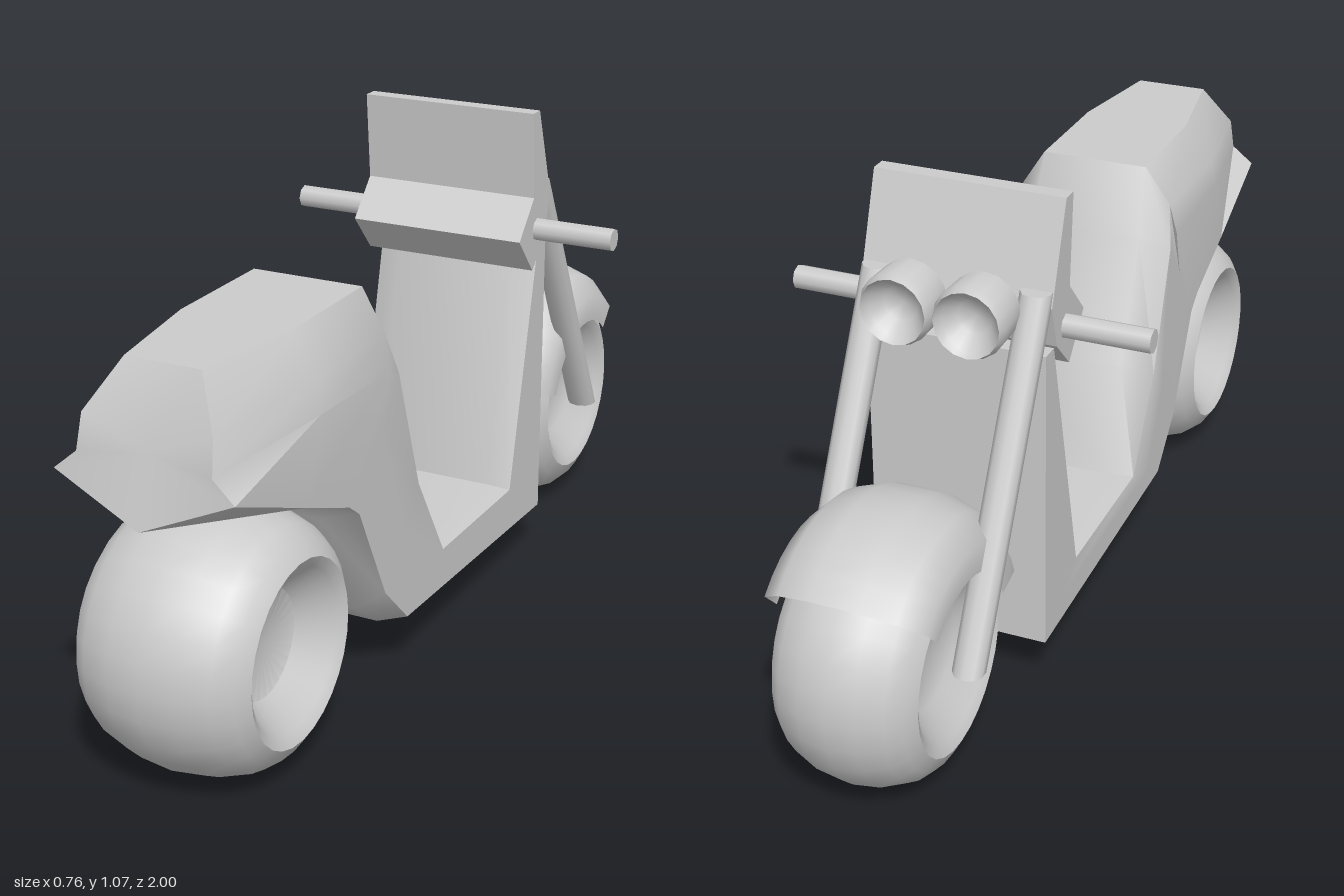
import * as THREE from 'three';
import { toCreasedNormals } from 'three/addons/utils/BufferGeometryUtils.js';

const grey = new THREE.MeshStandardMaterial({ color: 0xcccccc });
const greyThin = new THREE.MeshStandardMaterial({ color: 0xcccccc, side: THREE.DoubleSide });

function part(name, geometry, material = grey) {
  const mesh = new THREE.Mesh(geometry, material);
  mesh.name = name;
  return mesh;
}

const points = (list) => list.map(([r, h]) => new THREE.Vector2(r, h));

// Skins closed rings, given as mirrored right halves, and caps both ends
function loft(halves) {
  const rings = halves.map((h) => [...h, ...[...h].reverse().map(([x, y, z]) => [-x, y, z])]);
  const n = rings[0].length;
  const pos = rings.flat(2);
  const index = [];
  for (let i = 0; i < rings.length - 1; i++) {
    for (let j = 0; j < n; j++) {
      const a = i * n + j, b = i * n + (j + 1) % n;
      index.push(a, b, a + n, b, b + n, a + n);
    }
  }
  for (const i of [0, rings.length - 1]) {
    const c = pos.length / 3;
    for (let k = 0; k < 3; k++) pos.push(rings[i].reduce((s, p) => s + p[k], 0) / n);
    for (let j = 0; j < n; j++) {
      const a = i * n + j, b = i * n + (j + 1) % n;
      if (i === 0) index.push(c, b, a);
      else index.push(c, a, b);
    }
  }
  const g = new THREE.BufferGeometry();
  g.setAttribute('position', new THREE.Float32BufferAttribute(pos, 3));
  g.setIndex(index);
  return toCreasedNormals(g, 0.85);
}

// Fat tyre with dished hubs on both sides
function wheel(name, z, widthScale) {
  const half = [[0, 0.1], [0.11, 0.11], [0.163, 0.175], [0.185, 0.188], [0.215, 0.168], [0.24, 0.135], [0.262, 0.07]];
  const lower = half.map(([r, h]) => [r, -h]);
  const profile = points([...lower, [0.27, 0], ...half.reverse()]);
  const g = new THREE.LatheGeometry(profile, 28);
  g.rotateZ(Math.PI / 2).scale(widthScale, 1, 1);
  const mesh = part(name, toCreasedNormals(g, 0.8));
  mesh.position.set(0, 0.27, z);
  return mesh;
}

export function createModel() {
  const model = new THREE.Group();
  model.name = 'scooter';

  // Seat, footboard and leg shield in one shell, from tail to shield top
  model.add(part('body', loft([
    [[0.08, 0.865, 0.87], [0.135, 0.77, 0.93], [0.14, 0.7, 0.945], [0.187, 0.66, 0.95], [0, 0.58, 0.97]],
    [[0.12, 0.865, 0.62], [0.18, 0.78, 0.64], [0.19, 0.72, 0.65], [0.19, 0.56, 0.71], [0, 0.505, 0.62]],
    [[0.12, 0.865, 0.35], [0.175, 0.78, 0.36], [0.19, 0.71, 0.37], [0.19, 0.49, 0.54], [0.06, 0.475, 0.53]],
    [[0.13, 0.72, 0.29], [0.19, 0.69, 0.33], [0.19, 0.6, 0.4], [0.19, 0.46, 0.5], [0.1, 0.43, 0.5]],
    [[0.13, 0.45, 0.19], [0.19, 0.42, 0.24], [0.19, 0.35, 0.3], [0.19, 0.24, 0.39], [0.12, 0.19, 0.39]],
    [[0.14, 0.225, 0.1], [0.19, 0.22, 0.12], [0.19, 0.18, 0.21], [0.19, 0.14, 0.29], [0.13, 0.125, 0.31]],
    [[0.14, 0.225, -0.215], [0.19, 0.215, -0.23], [0.19, 0.17, -0.31], [0.19, 0.11, -0.4], [0.15, 0.11, -0.4]],
    [[0.13, 0.77, -0.33], [0.19, 0.77, -0.36], [0.19, 0.77, -0.38], [0.19, 0.77, -0.4], [0.15, 0.77, -0.4]],
  ])));

  model.add(wheel('rearWheel', 0.73, 1));
  model.add(wheel('frontWheel', -0.73, 0.8));

  // Front mudguard: part of a revolved arch
  const guard = new THREE.LatheGeometry(points([
    [0.18, -0.165], [0.24, -0.165], [0.285, -0.12], [0.308, -0.05],
    [0.308, 0.05], [0.285, 0.12], [0.24, 0.165], [0.18, 0.165],
  ]), 12, 0.3, 2.04);
  guard.rotateZ(Math.PI / 2).translate(0, 0.27, -0.73);
  model.add(part('frontMudguard', guard, greyThin));

  // Handlebar panel, extruded across the width; shape runs in (-z, y)
  const panelShape = new THREE.Shape(points([
    [0.23, 0.8], [0.305, 0.715], [0.37, 0.78], [0.395, 0.87], [0.325, 1.07], [0.29, 1.07], [0.305, 0.88],
  ]));
  const panel = new THREE.ExtrudeGeometry(panelShape, { depth: 0.4, bevelEnabled: false });
  panel.rotateY(Math.PI / 2).translate(-0.2, 0, 0);
  model.add(part('handlebarPanel', panel));

  // Sheared cylinder gives raked forks with level ends
  const rake = new THREE.Matrix4().set(1, 0, 0, 0, 0, 1, 0, 0, 0, 0.52, 1, 0, 0, 0, 0, 1);

  for (const side of [1, -1]) {
    const name = side > 0 ? 'left' : 'right';

    const fork = new THREE.CylinderGeometry(0.033, 0.033, 0.65, 10);
    fork.applyMatrix4(rake).translate(side * 0.166, 0.575, -0.555);
    model.add(part(name + 'Fork', fork));

    const grip = new THREE.CylinderGeometry(0.025, 0.025, 0.2, 8);
    grip.rotateZ(Math.PI / 2).translate(side * 0.28, 0.805, -0.325);
    model.add(part(name + 'Grip', grip));

    // Headlight cup with a hollow front
    const lamp = new THREE.LatheGeometry(points([
      [0, 0], [0.05, 0], [0.073, 0.025], [0.075, 0.1], [0.068, 0.117], [0.058, 0.1], [0.035, 0.075], [0, 0.065],
    ]), 16);
    lamp.rotateX(-Math.PI / 2).translate(side * 0.076, 0.867, -0.4);
    model.add(part(name + 'Headlight', toCreasedNormals(lamp, 0.7)));
  }

  return model;
}
